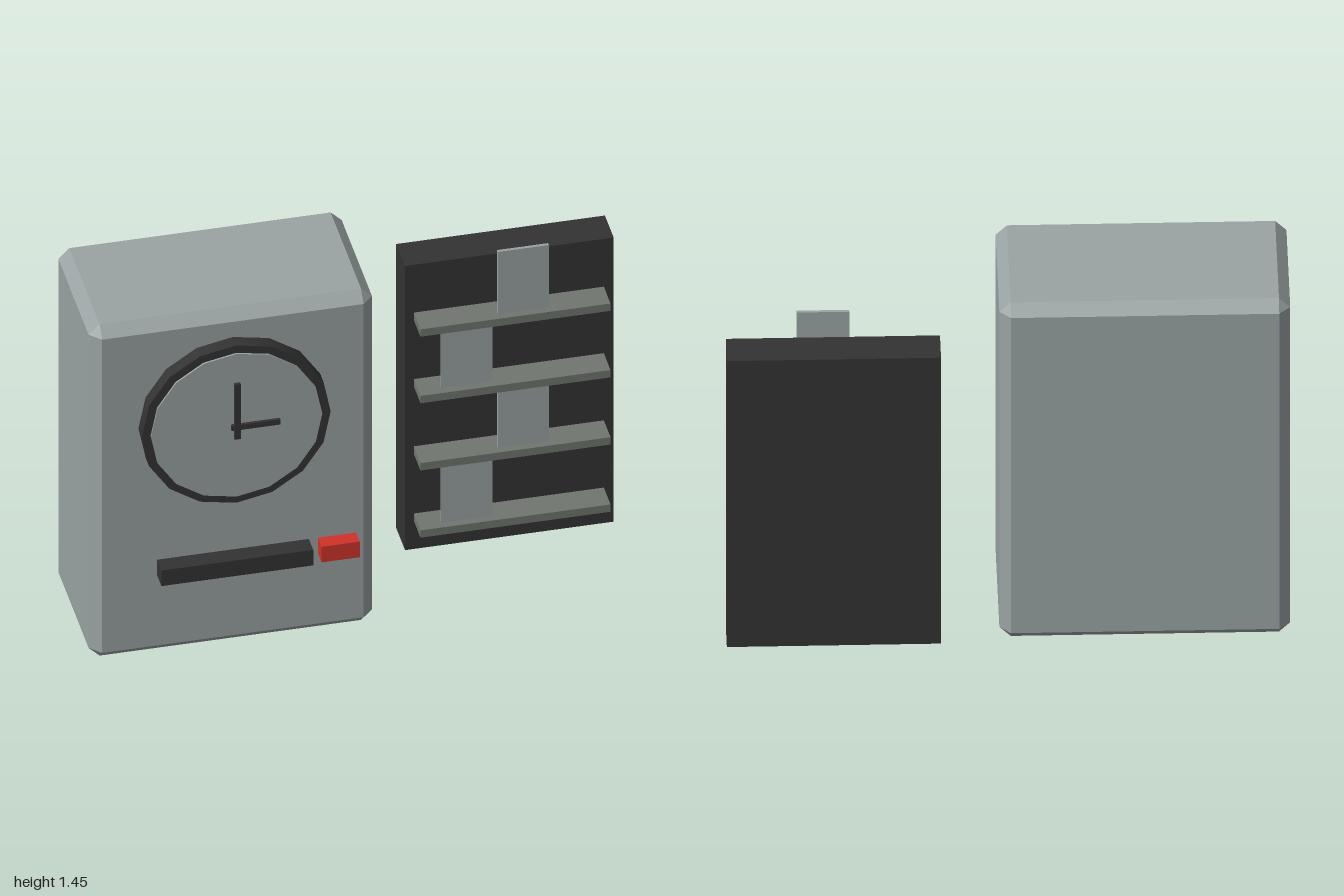
import * as THREE from 'three';
import { ConvexGeometry } from 'three/addons/geometries/ConvexGeometry.js';

function material(name, color) {
  const m = new THREE.MeshStandardMaterial({ color });
  m.name = name;
  return m;
}

// Box given by its extents along each axis
function slab(name, mat, [x0, x1], [y0, y1], [z0, z1]) {
  const mesh = new THREE.Mesh(new THREE.BoxGeometry(x1 - x0, y1 - y0, z1 - z0), mat);
  mesh.position.set((x0 + x1) / 2, (y0 + y1) / 2, (z0 + z1) / 2);
  mesh.name = name;
  return mesh;
}

// Box with chamfered edges and triangular corners
function chamferedBox(w, h, d, c) {
  const points = [];
  for (const sx of [-1, 1]) for (const sy of [-1, 1]) for (const sz of [-1, 1]) {
    for (let axis = 0; axis < 3; axis++) {
      const inset = [0, 1, 2].map((i) => (i === axis ? 0 : c));
      points.push(new THREE.Vector3(
        sx * (w / 2 - inset[0]), sy * (h / 2 - inset[1]), sz * (d / 2 - inset[2])));
    }
  }
  return new ConvexGeometry(points);
}

export function createModel() {
  const model = new THREE.Group();
  model.name = 'timeClockAndCardRack';
  const grey = material('light grey', 0x9aa3a3);
  const dark = material('charcoal', 0x333333);
  const shelfGrey = material('shelf grey', 0x70766f);
  const red = material('red', 0xcf3329);

  // Clock cabinet
  const clock = new THREE.Group();
  clock.name = 'timeClock';
  const cx = -0.484;
  const body = new THREE.Mesh(chamferedBox(1.032, 1.45, 0.553, 0.04), grey);
  body.name = 'cabinet';
  body.position.set(cx, 0.725, -0.0385);
  clock.add(body);

  // Sixteen-sided dial: dark bezel with a light face
  const disc = (name, mat, r, z0, z1) => {
    const geo = new THREE.CylinderGeometry(r, r, z1 - z0, 16).rotateX(Math.PI / 2);
    const mesh = new THREE.Mesh(geo, mat);
    mesh.name = name;
    mesh.position.set(cx, 1.0, (z0 + z1) / 2);
    clock.add(mesh);
  };
  disc('dialBezel', dark, 0.344, 0.225, 0.291);
  disc('dialFace', grey, 0.312, 0.29, 0.298);

  // Hands, card slot and button
  clock.add(
    slab('minuteHand', dark, [cx - 0.011, cx + 0.011], [0.95, 1.19], [0.303, 0.315]),
    slab('hourHand', dark, [-0.506, -0.328], [0.989, 1.011], [0.303, 0.314]),
    slab('cardSlot', dark, [-0.76, -0.207], [0.347, 0.415], [0.23, 0.306]),
    slab('button', red, [-0.174, -0.035], [0.347, 0.415], [0.23, 0.295]),
  );

  // Card rack: a shelf and a card per row, cards alternating sides
  const rack = new THREE.Group();
  rack.name = 'cardRack';
  rack.add(slab('rackBack', dark, [0.24, 1.0], [0, 1.243], [-0.315, -0.178]));
  [0.139, 0.433, 0.727, 1.018].forEach((y, i) => {
    const x = i % 2 ? 0.56 : 0.354;
    rack.add(
      slab('shelf', shelfGrey, [0.272, 0.964], [y - 0.016, y + 0.016], [-0.18, -0.073]),
      slab('card', grey, [x, x + 0.186], [y + 0.01, y + 0.288], [-0.113, -0.101]),
    );
  });

  model.add(clock, rack);
  return model;
}
